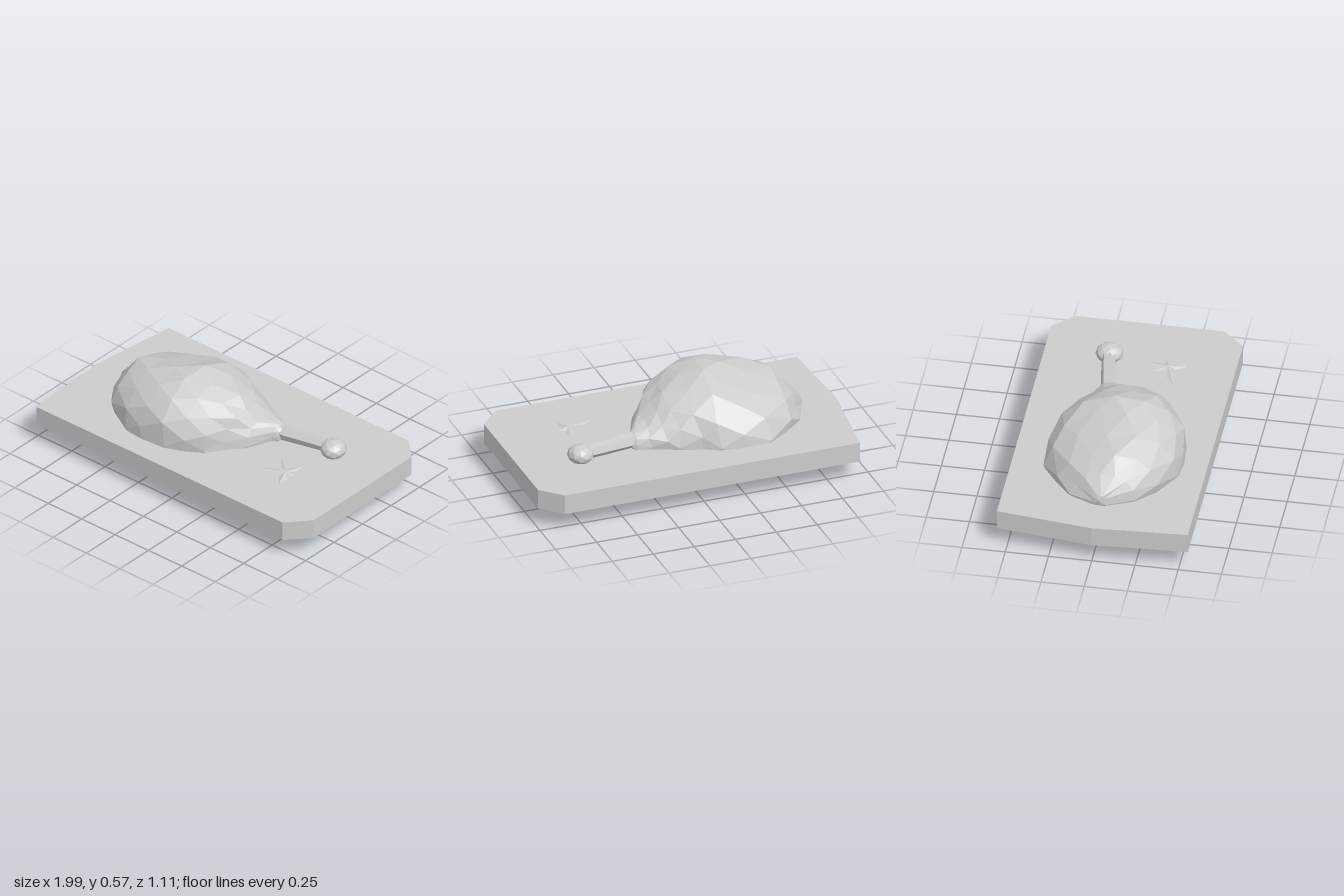
import * as THREE from 'three';

const grey = new THREE.MeshStandardMaterial({ color: 0xcccccc, flatShading: true });
grey.name = 'plain grey';
const greyThin = grey.clone();
greyThin.name = 'plain grey leaf';
greyThin.side = THREE.DoubleSide;

// Repeatable unevenness in the range -1..1
const wobble = (i, j) => {
  const s = Math.sin(i * 127.1 + j * 311.7) * 43758.5453;
  return (s - Math.floor(s)) * 2 - 1;
};

function add(parent, name, geometry, material = grey) {
  const mesh = new THREE.Mesh(geometry, material);
  mesh.name = name;
  parent.add(mesh);
  return mesh;
}

// Slab with clipped corners, outline given as x, z
function boardGeometry() {
  const outline = [[-0.93, -0.56], [0.87, -0.56], [0.99, -0.44], [0.99, 0.42],
    [0.87, 0.55], [-0.97, 0.55], [-1, 0]];
  const shape = new THREE.Shape(outline.map(([x, z]) => new THREE.Vector2(x, -z)));
  return new THREE.ExtrudeGeometry(shape, { depth: 0.12, bevelEnabled: false })
    .rotateX(-Math.PI / 2).translate(0, 0.11, 0);
}

// Lumpy meat lofted along x: x, back z, front z, bottom y, top y
function meatGeometry() {
  const sections = [
    [-0.775, -0.03, 0.04, 0.23, 0.3], [-0.7, -0.18, 0.2, 0.13, 0.39],
    [-0.61, -0.275, 0.31, 0.03, 0.47], [-0.45, -0.36, 0.4, 0, 0.515],
    [-0.3, -0.39, 0.43, 0, 0.545], [-0.17, -0.37, 0.41, 0, 0.57],
    [-0.05, -0.335, 0.36, 0.015, 0.53], [0.06, -0.285, 0.3, 0.035, 0.475],
    [0.14, -0.25, 0.2, 0.06, 0.42], [0.21, -0.215, 0.09, 0.095, 0.36],
    [0.28, -0.19, -0.05, 0.19, 0.32], [0.31, -0.17, -0.07, 0.22, 0.3],
  ];
  const sides = 14, positions = [], index = [];
  sections.forEach(([x, back, front, bottom, top], i) => {
    const mid = Math.min(0.24, (bottom + top) / 2 + 0.04), half = (front - back) / 2;
    for (let j = 0; j < sides; j++) {
      const a = ((j + (i % 2) * 0.5) / sides) * Math.PI * 2;
      const c = Math.cos(a), s = Math.sin(a);
      const r = 1 + 0.035 * wobble(i, j);
      // the underside is squarer and flattened
      const y = c > 0 ? mid + (top - mid) * c * r
        : mid + (mid - bottom) * Math.max(-1, c * 1.25);
      const z = (front + back) / 2 + half * (s * r + 0.16 * Math.max(0, c) ** 2);
      positions.push(x + half * 0.07 * wobble(j, i + 5), y, z);
    }
  });
  const last = sections.length - 1;
  for (let i = 0; i < last; i++) {
    for (let j = 0; j < sides; j++) {
      const k = (j + 1) % sides, a = i * sides, b = a + sides;
      if (i % 2 === 0) index.push(a + j, a + k, b + j, a + k, b + k, b + j);
      else index.push(a + j, b + k, b + j, a + j, a + k, b + k);
    }
  }
  // end caps
  positions.push(-0.785, 0.27, 0, 0.31, 0.26, -0.12);
  const cap = sections.length * sides;
  for (let j = 0; j < sides; j++) {
    const k = (j + 1) % sides;
    index.push(cap, k, j, cap + 1, last * sides + j, last * sides + k);
  }
  const g = new THREE.BufferGeometry();
  g.setAttribute('position', new THREE.Float32BufferAttribute(positions, 3));
  g.setIndex(index);
  g.computeVertexNormals();
  return g;
}

// Folded kite leaf running from base to tip, raised along its midrib
function leafGeometry(base, tip, width) {
  const b = new THREE.Vector3(...base), t = new THREE.Vector3(...tip);
  const mid = b.clone().lerp(t, 0.4);
  const side = new THREE.Vector3(t.z - b.z, 0, b.x - t.x).normalize().multiplyScalar(width);
  const l = mid.clone().add(side), r = mid.clone().sub(side);
  l.y -= 0.012;
  r.y -= 0.012;
  const g = new THREE.BufferGeometry().setFromPoints([b, l, mid, l, t, mid, b, mid, r, mid, t, r]);
  g.computeVertexNormals();
  return g;
}

export function createModel() {
  const model = new THREE.Group();
  model.name = 'roastOnBoard';
  add(model, 'cuttingBoard', boardGeometry());
  add(model, 'roastMeat', meatGeometry());

  // Bone shaft and faceted knuckle
  const start = new THREE.Vector3(0.24, 0.265, -0.115), end = new THREE.Vector3(0.61, 0.268, -0.185);
  const along = end.clone().sub(start);
  const shaft = add(model, 'boneShaft', new THREE.CylinderGeometry(0.037, 0.05, along.length(), 6));
  shaft.position.copy(start).addScaledVector(along, 0.5);
  shaft.quaternion.setFromUnitVectors(new THREE.Vector3(0, 1, 0), along.normalize());
  const knob = add(model, 'boneKnuckle', new THREE.IcosahedronGeometry(0.078, 1));
  knob.position.set(0.63, 0.265, -0.18);
  knob.scale.set(0.97, 0.75, 1.03);
  knob.rotation.y = 0.2;

  // Herb sprig lying beside the bone
  const sprig = new THREE.Group();
  sprig.name = 'herbSprig';
  const heart = [0.57, 0.262, 0.17];
  [[[0.4, 0.245, 0.23], 0.024], [[0.6, 0.25, 0.045], 0.026], [[0.605, 0.24, 0.27], 0.024],
    [[0.48, 0.285, 0.1], 0.016], [[0.64, 0.255, 0.15], 0.022]]
    .forEach(([tip, width]) => add(sprig, 'herbLeaf', leafGeometry(heart, tip, width), greyThin));
  model.add(sprig);
  return model;
}
